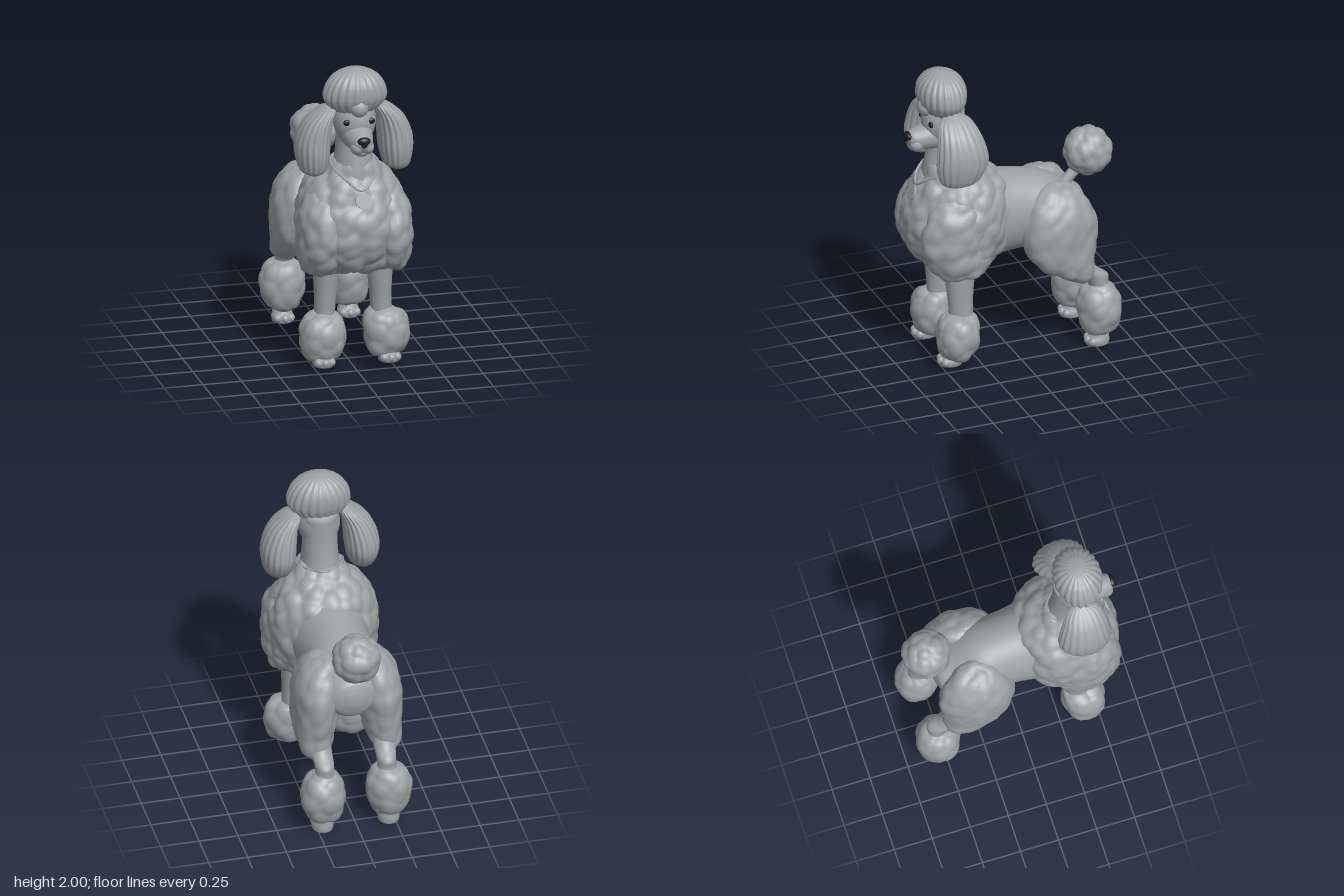
import * as THREE from 'three';

const coat = new THREE.MeshStandardMaterial({ color: 0x9da1a4 });
coat.name = 'grey coat';
const dark = new THREE.MeshStandardMaterial({ color: 0x1c1c1e });
dark.name = 'dark';

// Smooth closed skin through elliptical rings [y, x, z, rx, rz], listed bottom to top.
// Optional ridges cut combed strands running along the length.
function loft(sections, { rows = 20, segs = 32, ridges = 0, depth = 0, twist = 0 } = {}) {
  const centres = new THREE.CatmullRomCurve3(sections.map(([y, x, z]) => new THREE.Vector3(x, y, z)));
  const radii = new THREE.CatmullRomCurve3(sections.map(([y, , , rx, rz]) => new THREE.Vector3(rx, y, rz)));
  const pos = [], index = [];
  for (let i = 0; i <= rows; i++) {
    const c = centres.getPoint(i / rows), r = radii.getPoint(i / rows);
    for (let j = 0; j < segs; j++) {
      const a = (j / segs) * Math.PI * 2;
      const k = 1 - depth * (1 - Math.abs(Math.cos(ridges * a / 2 + twist * i / rows)));
      pos.push(c.x + r.x * k * Math.cos(a), c.y, c.z + r.z * k * Math.sin(a));
    }
  }
  for (let i = 0; i < rows; i++) {
    for (let j = 0; j < segs; j++) {
      const a = i * segs + j, b = i * segs + (j + 1) % segs;
      index.push(a, a + segs, b, b, a + segs, b + segs);
    }
  }
  const low = pos.length / 3, high = low + 1, last = rows * segs;
  const [s, e] = [sections[0], sections[sections.length - 1]];
  pos.push(s[1], s[0], s[2], e[1], e[0], e[2]);
  for (let j = 0; j < segs; j++) {
    const n = (j + 1) % segs;
    index.push(low, j, n, high, last + n, last + j);
  }
  const geo = new THREE.BufferGeometry();
  geo.setAttribute('position', new THREE.Float32BufferAttribute(pos, 3));
  geo.setIndex(index);
  geo.computeVertexNormals();
  return geo;
}

// Loft running back to front; sections are [z, y, rx, ry]
const loftZ = (sections, opts) =>
  loft(sections.map(([z, y, rx, ry]) => [z, 0, -y, rx, ry]), opts).rotateX(Math.PI / 2);

// Repeatable pseudo-random value for a grid cell
function hash(x, y, z, k) {
  const v = Math.sin(x * 127.1 + y * 311.7 + z * 74.7 + k * 53.3) * 43758.5453;
  return v - Math.floor(v);
}

// Raise rounded curls: each vertex rises with its closeness to the nearest curl centre
function curl(geo, size, amp) {
  const p = geo.attributes.position, n = geo.attributes.normal;
  for (let i = 0; i < p.count; i++) {
    const q = [p.getX(i) / size, p.getY(i) / (size * 1.2), p.getZ(i) / size];
    const [cx, cy, cz] = q.map(Math.floor);
    let best = 9;
    for (let x = cx - 1; x <= cx + 1; x++)
      for (let y = cy - 1; y <= cy + 1; y++)
        for (let z = cz - 1; z <= cz + 1; z++) {
          const dx = x + hash(x, y, z, 1) - q[0];
          const dy = y + hash(x, y, z, 2) - q[1];
          const dz = z + hash(x, y, z, 3) - q[2];
          best = Math.min(best, dx * dx + dy * dy + dz * dz);
        }
    const h = amp * (1 - Math.min(1.2, best * 1.7));
    p.setXYZ(i, p.getX(i) + n.getX(i) * h, p.getY(i) + n.getY(i) * h, p.getZ(i) + n.getZ(i) * h);
  }
  geo.computeVertexNormals();
  return geo;
}

export function createModel() {
  const model = new THREE.Group();
  model.name = 'poodle';
  const add = (name, geo, mat = coat) => {
    const mesh = new THREE.Mesh(geo, mat);
    mesh.name = name;
    model.add(mesh);
    return mesh;
  };
  const ball = (name, [x, y, z], [rx, ry, rz], mat) =>
    add(name, new THREE.SphereGeometry(1, 22, 14).scale(rx, ry, rz).translate(x, y, z), mat);
  const puff = { rows: 38, segs: 60 };

  // Clipped body and curly mane
  add('torso', loftZ([
    [-0.52, 0.9, 0.04, 0.04], [-0.49, 0.9, 0.13, 0.12], [-0.4, 0.9, 0.19, 0.17],
    [-0.25, 0.93, 0.22, 0.23], [-0.1, 0.94, 0.22, 0.26], [0.05, 0.95, 0.235, 0.28],
    [0.2, 0.96, 0.26, 0.31], [0.35, 0.97, 0.24, 0.3],
  ], { rows: 36, segs: 48 }));
  add('mane', curl(loft([
    [0.645, 0, 0.34, 0.08, 0.08], [0.67, 0, 0.34, 0.22, 0.19], [0.75, 0, 0.34, 0.3, 0.28],
    [0.9, 0, 0.345, 0.335, 0.335], [1.05, 0, 0.34, 0.335, 0.325], [1.2, 0, 0.33, 0.285, 0.28],
    [1.3, 0, 0.35, 0.2, 0.2], [1.38, 0, 0.39, 0.12, 0.14],
  ], { rows: 60, segs: 100 }), 0.085, 0.022));

  // Neck and head
  add('neck', loft([
    [1.15, 0, 0.37, 0.19, 0.2], [1.3, 0, 0.39, 0.145, 0.17], [1.4, 0, 0.4, 0.12, 0.145],
    [1.55, 0, 0.4, 0.11, 0.12], [1.75, 0, 0.41, 0.115, 0.12],
  ]));
  ball('head', [0, 1.65, 0.43], [0.135, 0.17, 0.14]);
  add('muzzle', loftZ([
    [0.43, 1.57, 0.11, 0.11], [0.53, 1.565, 0.092, 0.09], [0.6, 1.555, 0.076, 0.074],
    [0.65, 1.558, 0.056, 0.054], [0.675, 1.565, 0.02, 0.02],
  ]));
  ball('chin', [0, 1.495, 0.59], [0.05, 0.035, 0.055]);
  ball('nose', [0, 1.582, 0.665], [0.042, 0.027, 0.026], dark);
  ball('noseTip', [0, 1.562, 0.667], [0.022, 0.024, 0.02], dark);

  // Combed topknot and forelock
  add('topknot', loft([
    [1.7, 0, 0.43, 0.09, 0.08], [1.74, 0, 0.435, 0.16, 0.12], [1.81, 0, 0.44, 0.205, 0.152],
    [1.89, 0, 0.44, 0.19, 0.152], [1.95, 0, 0.44, 0.145, 0.12], [1.99, 0, 0.44, 0.07, 0.06],
    [2, 0, 0.44, 0.01, 0.01],
  ], { rows: 30, segs: 132, ridges: 22, depth: 0.07, twist: 0.8 }));
  ball('forelock', [0, 1.765, 0.545], [0.06, 0.062, 0.055]);

  // Necklace and round tag
  const chain = new THREE.CatmullRomCurve3([
    [0, 1.39, 0.235], [0.115, 1.385, 0.32], [0.15, 1.36, 0.43], [0.08, 1.29, 0.57], [0, 1.235, 0.61],
    [-0.08, 1.29, 0.57], [-0.15, 1.36, 0.43], [-0.115, 1.385, 0.32],
  ].map((p) => new THREE.Vector3(...p)), true);
  add('necklace', new THREE.TubeGeometry(chain, 64, 0.008, 6, true));
  const tag = add('tag', new THREE.CylinderGeometry(0.05, 0.05, 0.014, 32).rotateX(Math.PI / 2));
  tag.position.set(0, 1.18, 0.64);
  tag.rotation.x = -0.35;

  // Tail with pompom
  const stem = new THREE.LineCurve3(new THREE.Vector3(0, 1.02, -0.36), new THREE.Vector3(0, 1.18, -0.52));
  add('tail', new THREE.TubeGeometry(stem, 4, 0.035, 16));
  add('tailPompom', curl(new THREE.SphereGeometry(0.147, 56, 38).translate(0, 1.248, -0.55), 0.07, 0.016));

  for (const s of [1, -1]) {
    const side = s > 0 ? 'left' : 'right';
    const shift = (rows) => rows.map(([y, x, ...rest]) => [y, x * s, ...rest]);

    ball(side + 'Eye', [0.079 * s, 1.67, 0.542], [0.023, 0.02, 0.012], dark);
    ball(side + 'Lip', [0.033 * s, 1.528, 0.615], [0.043, 0.047, 0.05]);
    add(side + 'Ear', loft(shift([
      [1.31, 0.27, 0.43, 0.03, 0.05], [1.34, 0.27, 0.425, 0.08, 0.12], [1.45, 0.27, 0.405, 0.108, 0.17],
      [1.55, 0.262, 0.405, 0.108, 0.163], [1.66, 0.23, 0.415, 0.088, 0.135],
      [1.73, 0.18, 0.42, 0.06, 0.1], [1.765, 0.15, 0.42, 0.02, 0.03],
    ]), { rows: 28, segs: 108, ridges: 18, depth: 0.07, twist: s * 0.8 }));

    // Front leg
    add(side + 'Shoulder', curl(loft(shift([
      [0.65, 0.22, 0.39, 0.06, 0.08], [0.68, 0.22, 0.395, 0.11, 0.15], [0.78, 0.22, 0.41, 0.133, 0.205],
      [0.92, 0.215, 0.425, 0.14, 0.225], [1.06, 0.21, 0.415, 0.135, 0.195],
      [1.17, 0.19, 0.4, 0.105, 0.13], [1.22, 0.17, 0.4, 0.04, 0.05],
    ]), puff), 0.08, 0.018));
    add(side + 'FrontLeg', loft(shift([
      [0.3, 0.185, 0.38, 0.066, 0.075], [0.45, 0.18, 0.383, 0.068, 0.08], [0.6, 0.175, 0.385, 0.078, 0.094],
      [0.75, 0.175, 0.385, 0.085, 0.11],
    ])));
    add(side + 'FrontPompom', curl(loft(shift([
      [0.075, 0.205, 0.42, 0.06, 0.06], [0.1, 0.205, 0.42, 0.105, 0.1], [0.18, 0.205, 0.415, 0.139, 0.127],
      [0.28, 0.205, 0.41, 0.138, 0.127], [0.345, 0.2, 0.4, 0.108, 0.105], [0.37, 0.19, 0.39, 0.06, 0.06],
    ]), puff), 0.085, 0.014));

    // Hind leg
    add(side + 'Thigh', curl(loft(shift([
      [0.465, 0.22, -0.43, 0.04, 0.05], [0.51, 0.225, -0.4, 0.085, 0.095], [0.6, 0.22, -0.32, 0.118, 0.18],
      [0.72, 0.21, -0.285, 0.135, 0.225], [0.88, 0.2, -0.28, 0.14, 0.238], [1.02, 0.18, -0.28, 0.12, 0.18],
      [1.1, 0.15, -0.28, 0.075, 0.11], [1.13, 0.13, -0.28, 0.02, 0.03],
    ]), puff), 0.085, 0.014));
    add(side + 'Hock', loft(shift([
      [0.34, 0.2, -0.55, 0.06, 0.065], [0.42, 0.2, -0.54, 0.06, 0.066], [0.47, 0.2, -0.515, 0.062, 0.09],
      [0.53, 0.205, -0.43, 0.072, 0.1], [0.64, 0.205, -0.35, 0.08, 0.11],
    ])));
    add(side + 'HindPompom', curl(loft(shift([
      [0.085, 0.21, -0.54, 0.06, 0.06], [0.11, 0.21, -0.54, 0.1, 0.1], [0.2, 0.212, -0.542, 0.134, 0.13],
      [0.3, 0.212, -0.542, 0.134, 0.132], [0.375, 0.208, -0.54, 0.1, 0.1], [0.405, 0.2, -0.54, 0.06, 0.06],
    ]), puff), 0.09, 0.014));

    // Paws with three toes each
    for (const [end, y, z] of [['Front', 0.048, 0.465], ['Hind', 0.002, -0.53]]) {
      const x = 0.213 * s;
      add(side + end + 'Paw', loft([
        [y, x, z, 0.066, 0.075], [y + 0.03, x, z, 0.07, 0.078], [y + 0.06, x, z - 0.01, 0.062, 0.064],
        [y + 0.13, x, z - 0.02, 0.05, 0.05],
      ], { rows: 12, segs: 28 }));
      for (const t of [-1, 0, 1])
        ball(side + end + 'Toe', [x + t * 0.042, y + 0.029, z + 0.058 - Math.abs(t) * 0.014], [0.027, 0.028, 0.03]);
    }
    const sole = add(side + 'HindSole', new THREE.CylinderGeometry(0.062, 0.062, 0.003, 28), dark);
    sole.scale.z = 1.15;
    sole.position.set(0.213 * s, 0.0015, -0.53);
  }
  return model;
}
